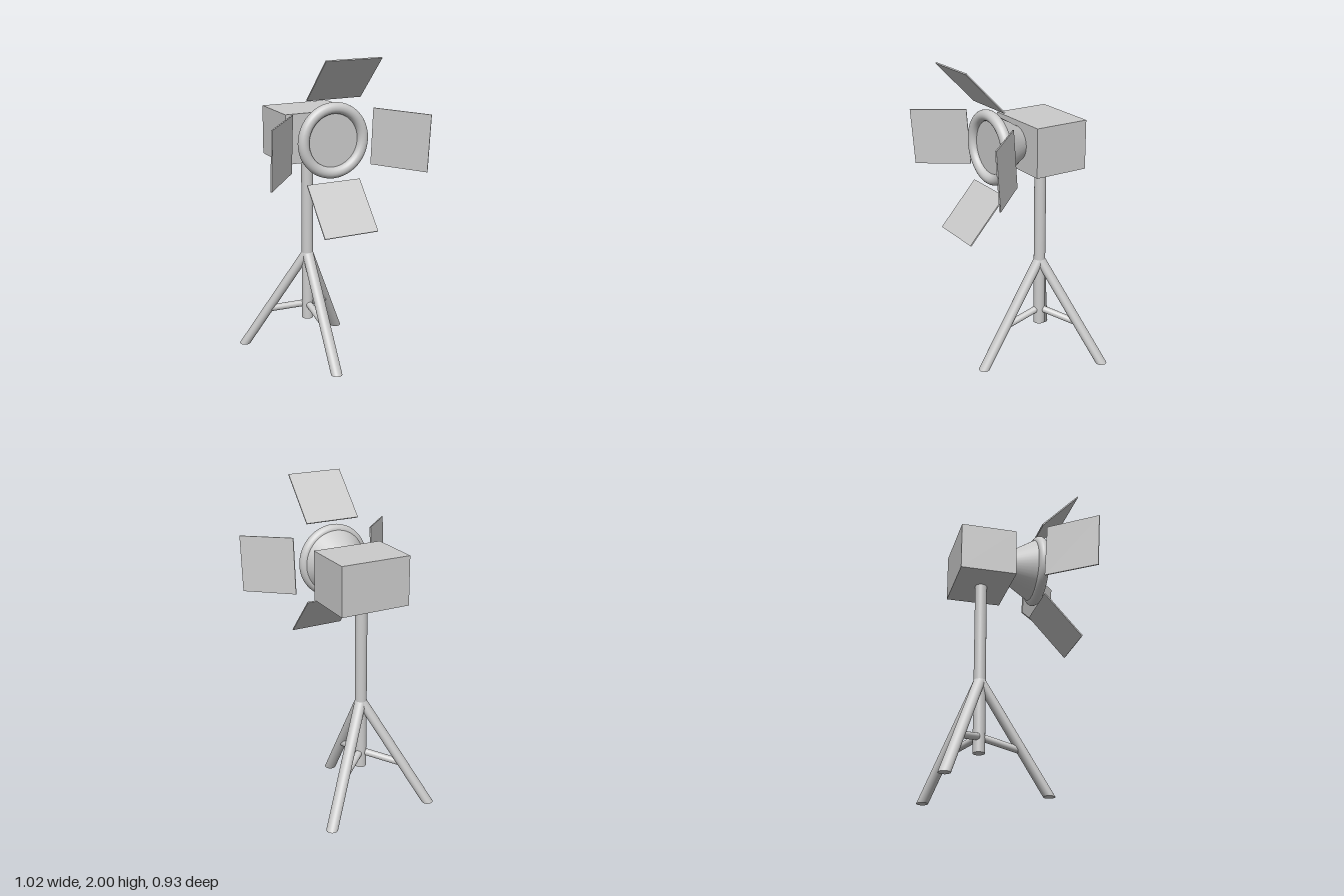
import * as THREE from 'three';

const V = (x, y, z) => new THREE.Vector3(x, y, z);

export function createModel() {
  const model = new THREE.Group();
  const material = new THREE.MeshStandardMaterial({ color: 0xcccccc });

  const add = (name, geometry, position = V(0, 0, 0)) => {
    const mesh = new THREE.Mesh(geometry, material);
    mesh.name = name;
    mesh.position.copy(position);
    model.add(mesh);
    return mesh;
  };

  // Round bar between two points
  const bar = (name, a, b, radius) => {
    const dir = b.clone().sub(a);
    const mesh = add(name, new THREE.CylinderGeometry(radius, radius, dir.length(), 24), a.clone().lerp(b, 0.5));
    mesh.quaternion.setFromUnitVectors(V(0, 1, 0), dir.normalize());
  };

  // Slanted bar whose ends stay level with the ground
  const slantedBar = (name, top, foot, radius) => {
    const d = top.clone().sub(foot);
    const geometry = new THREE.CylinderGeometry(radius, radius, d.y, 32);
    geometry.applyMatrix4(new THREE.Matrix4().set(
      1, d.x / d.y, 0, 0,
      0, 1, 0, 0,
      0, d.z / d.y, 1, 0,
      0, 0, 0, 1));
    add(name, geometry, top.clone().lerp(foot, 0.5));
  };

  // Thin panel spanned by two edge vectors around a centre
  const panel = (name, centre, u, v) => {
    const mesh = add(name, new THREE.BoxGeometry(u.length(), v.length(), 0.008), centre);
    const x = u.clone().normalize();
    const z = u.clone().cross(v).normalize();
    const y = z.clone().cross(x);
    mesh.quaternion.setFromRotationMatrix(new THREE.Matrix4().makeBasis(x, y, z));
  };

  // Stand: centre pole, three legs and their braces
  const poleZ = -0.165;
  add('pole', new THREE.CylinderGeometry(0.037, 0.037, 1.12, 32), V(0, 0.79, poleZ));
  const legTop = V(0, 0.69, poleZ);
  const braceTop = V(0, 0.333, poleZ);
  const feet = { front: V(0, 0, 0.26), left: V(0.342, 0, -0.43), right: V(-0.345, 0, -0.43) };
  for (const [side, foot] of Object.entries(feet)) {
    slantedBar(side + 'Leg', legTop, foot, 0.036);
    bar(side + 'Brace', braceTop, foot.clone().lerp(legTop, 0.385), 0.022);
  }

  // Lamp housing
  add('housing', new THREE.BoxGeometry(0.446, 0.305, 0.35), V(0, 1.482, -0.166));

  // Flared reflector with closed front, and its rim
  const lampY = 1.495;
  add('reflector', new THREE.CylinderGeometry(0.215, 0.1, 0.195, 48).rotateX(Math.PI / 2), V(0, lampY, 0.0975));
  add('rim', new THREE.TorusGeometry(0.194, 0.034, 20, 48), V(0, lampY, 0.198));

  // Four barn doors
  panel('topDoor', V(0, 1.872, 0.323), V(0.35, 0, 0), V(0, 0.254, 0.246));
  panel('bottomDoor', V(0, 1.112, 0.322), V(0.35, 0, 0), V(0, 0.264, -0.236));
  for (const [side, s] of [['left', 1], ['right', -1]]) {
    panel(side + 'Door', V(s * 0.385, 1.486, 0.321), V(s * 0.24, -0.018, 0.262), V(0, 0.35, 0.024));
  }

  return model;
}
